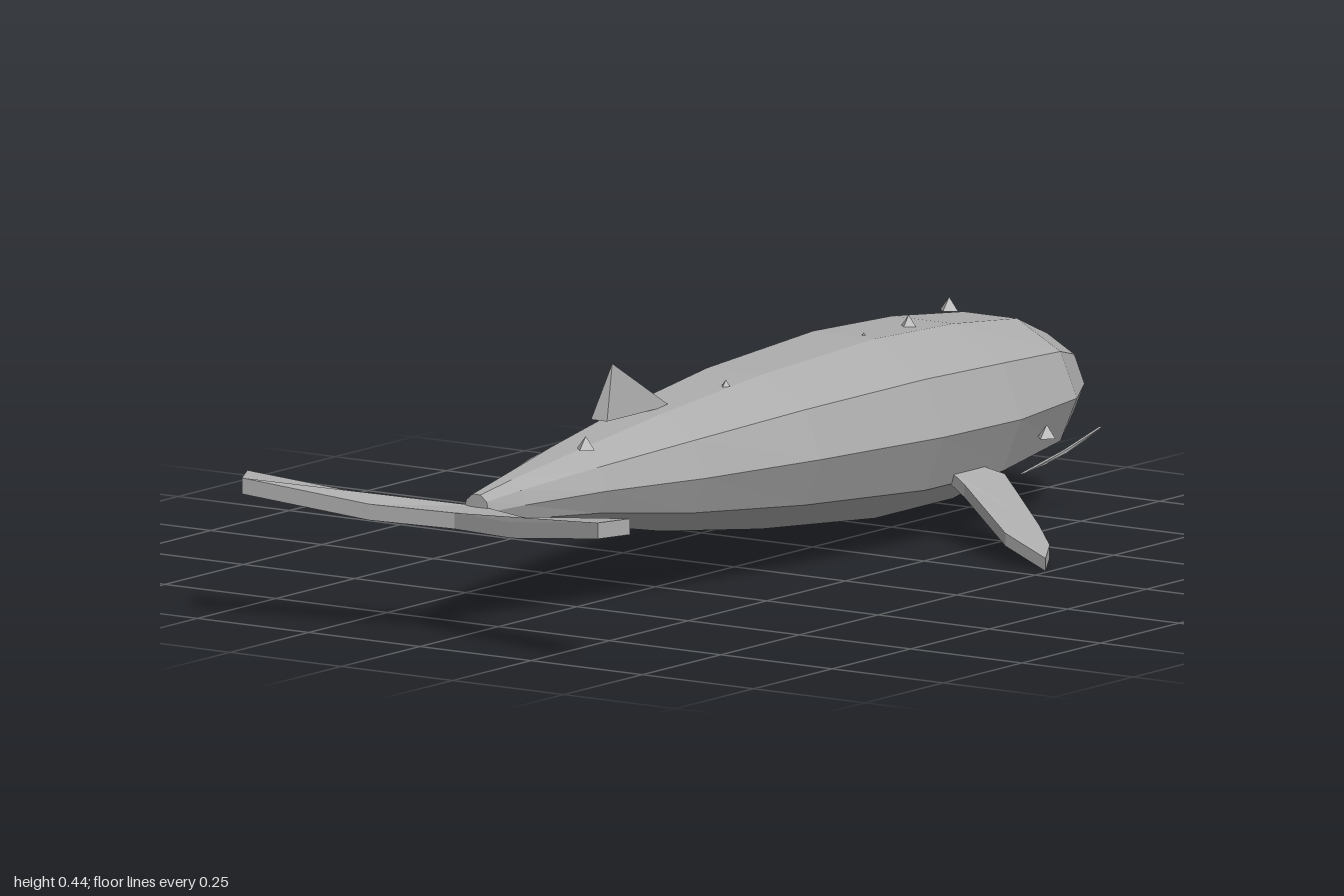
import * as THREE from 'three';

const skin = new THREE.MeshStandardMaterial({ color: 0xacacac, flatShading: true });
skin.name = 'grey skin';

function add(parent, name, geometry) {
  const mesh = new THREE.Mesh(geometry, skin);
  mesh.name = name;
  parent.add(mesh);
  return mesh;
}

// Ten-sided body lofted along z: [z, half width, bottom y, top y]
function bodyGeometry() {
  const sections = [
    [-1, 0.02, 0.185, 0.22],
    [-0.945, 0.12, 0.13, 0.3],
    [-0.815, 0.195, 0.08, 0.35],
    [-0.6, 0.222, 0.047, 0.373],
    [-0.35, 0.225, 0.047, 0.382],
    [0, 0.197, 0.078, 0.366],
    [0.3, 0.147, 0.117, 0.335],
    [0.54, 0.096, 0.163, 0.302],
    [0.73, 0.046, 0.186, 0.273],
    [0.82, 0.028, 0.197, 0.258],
  ];
  const n = 10;
  const positions = [];
  const index = [];
  for (const [z, w, bottom, top] of sections) {
    const cy = (bottom + top) / 2;
    const h = (top - bottom) / 2 / Math.sin(Math.PI * 0.4);
    for (let j = 0; j < n; j++) {
      const a = (j / n) * Math.PI * 2;
      positions.push(w * Math.cos(a), cy + h * Math.sin(a), z);
    }
  }
  const last = (sections.length - 1) * n;
  for (let i = 0; i < last; i += n) {
    for (let j = 0; j < n; j++) {
      const k = (j + 1) % n;
      index.push(i + j, i + k, i + n + k, i + j, i + n + k, i + n + j);
    }
  }
  // Nose and tail caps
  for (let j = 1; j < n - 1; j++) {
    index.push(0, j + 1, j, last, last + j, last + j + 1);
  }
  const g = new THREE.BufferGeometry();
  g.setAttribute('position', new THREE.Float32BufferAttribute(positions, 3));
  g.setIndex(index);
  const flat = g.toNonIndexed();
  flat.computeVertexNormals();
  return flat;
}

// Flat fin from an x/z outline, bent in y along the [x, y] knots
function finGeometry(outline, knots, thickness, side) {
  const shape = new THREE.Shape(outline.map(([x, z]) => new THREE.Vector2(x * side, -z)));
  const g = new THREE.ExtrudeGeometry(shape, { depth: thickness, bevelEnabled: false });
  g.rotateX(-Math.PI / 2);
  const p = g.attributes.position;
  for (let i = 0; i < p.count; i++) {
    const x = Math.abs(p.getX(i));
    let s = 0;
    while (s < knots.length - 2 && x > knots[s + 1][0]) s++;
    const [x0, y0] = knots[s];
    const [x1, y1] = knots[s + 1];
    p.setY(i, p.getY(i) + y0 + ((y1 - y0) * (x - x0)) / (x1 - x0));
  }
  g.computeVertexNormals();
  return g;
}

// Four-sided back fin with its tip swept backwards
function dorsalGeometry() {
  const g = new THREE.ConeGeometry(1, 1, 4, 1).rotateY(Math.PI / 4);
  g.scale(0.018 * Math.SQRT2, 0.1, 0.1 * Math.SQRT2);
  const p = g.attributes.position;
  for (let i = 0; i < p.count; i++) {
    if (p.getY(i) > 0) p.setZ(i, p.getZ(i) + 0.058);
  }
  g.translate(0, 0.388, 0.33);
  g.computeVertexNormals();
  return g;
}

// Thin lip blade along the side of the jaw
function lipGeometry(side) {
  const shape = new THREE.Shape();
  shape.moveTo(0.93, 0.142);
  shape.quadraticCurveTo(0.76, 0.13, 0.6, 0.108);
  shape.quadraticCurveTo(0.76, 0.118, 0.93, 0.142);
  const g = new THREE.ExtrudeGeometry(shape, { depth: 0.006, bevelEnabled: false, curveSegments: 4 });
  g.rotateY(Math.PI / 2);
  const p = g.attributes.position;
  for (let i = 0; i < p.count; i++) {
    const t = (p.getZ(i) + 0.93) / 0.33;
    p.setX(i, p.getX(i) + 0.164 + 0.053 * Math.sin((t * Math.PI) / 2));
  }
  if (side < 0) g.rotateZ(0).scale(-1, 1, 1);
  // Restore outward winding on the mirrored side
  if (side < 0) {
    for (let i = 0; i < p.count; i += 3) {
      const a = new THREE.Vector3().fromBufferAttribute(p, i + 1);
      const b = new THREE.Vector3().fromBufferAttribute(p, i + 2);
      p.setXYZ(i + 1, b.x, b.y, b.z);
      p.setXYZ(i + 2, a.x, a.y, a.z);
    }
  }
  g.computeVertexNormals();
  return g;
}

export function createModel() {
  const model = new THREE.Group();
  model.name = 'whale';

  add(model, 'body', bodyGeometry());
  add(model, 'dorsalFin', dorsalGeometry());

  const flipper = [[0.17, -0.52], [0.22, -0.55], [0.385, -0.425], [0.455, -0.36],
    [0.493, -0.293], [0.385, -0.318], [0.22, -0.42], [0.17, -0.44]];
  const flipperBend = [[0.17, 0.112], [0.22, 0.092], [0.385, 0.033], [0.493, 0.001]];
  const fluke = [[0, 0.805], [0.13, 0.86], [0.43, 0.94], [0.4, 1], [0.16, 0.935], [0, 0.89]];
  const flukeBend = [[0, 0.204], [0.13, 0.206], [0.39, 0.243], [0.43, 0.246]];

  // Mirrored parts
  for (const side of [1, -1]) {
    const label = side > 0 ? 'left' : 'right';
    add(model, label + 'Flipper', finGeometry(flipper, flipperBend, 0.024, side));
    add(model, label + 'Fluke', finGeometry(fluke, flukeBend, 0.03, side));
    add(model, label + 'Lip', lipGeometry(side));
    const eye = add(model, label + 'Eye', new THREE.ConeGeometry(0.02, 0.025, 4));
    eye.position.set(side * 0.208, 0.172, -0.7);
  }

  // Barnacle bumps along the back: [x, y, z, radius]
  const bumps = [[0.01, 0.394, -0.67, 0.02], [0.025, 0.384, -0.52, 0.02],
    [0.03, 0.374, -0.37, 0.02], [0.05, 0.364, -0.22, 0.02],
    [0.045, 0.356, 0.09, 0.02], [-0.06, 0.338, 0.24, 0.02], [0.048, 0.318, 0.54, 0.02]];
  for (const [x, y, z, r] of bumps) {
    add(model, 'barnacle', new THREE.ConeGeometry(r, 0.025, 4)).position.set(x, y, z);
  }
  return model;
}
